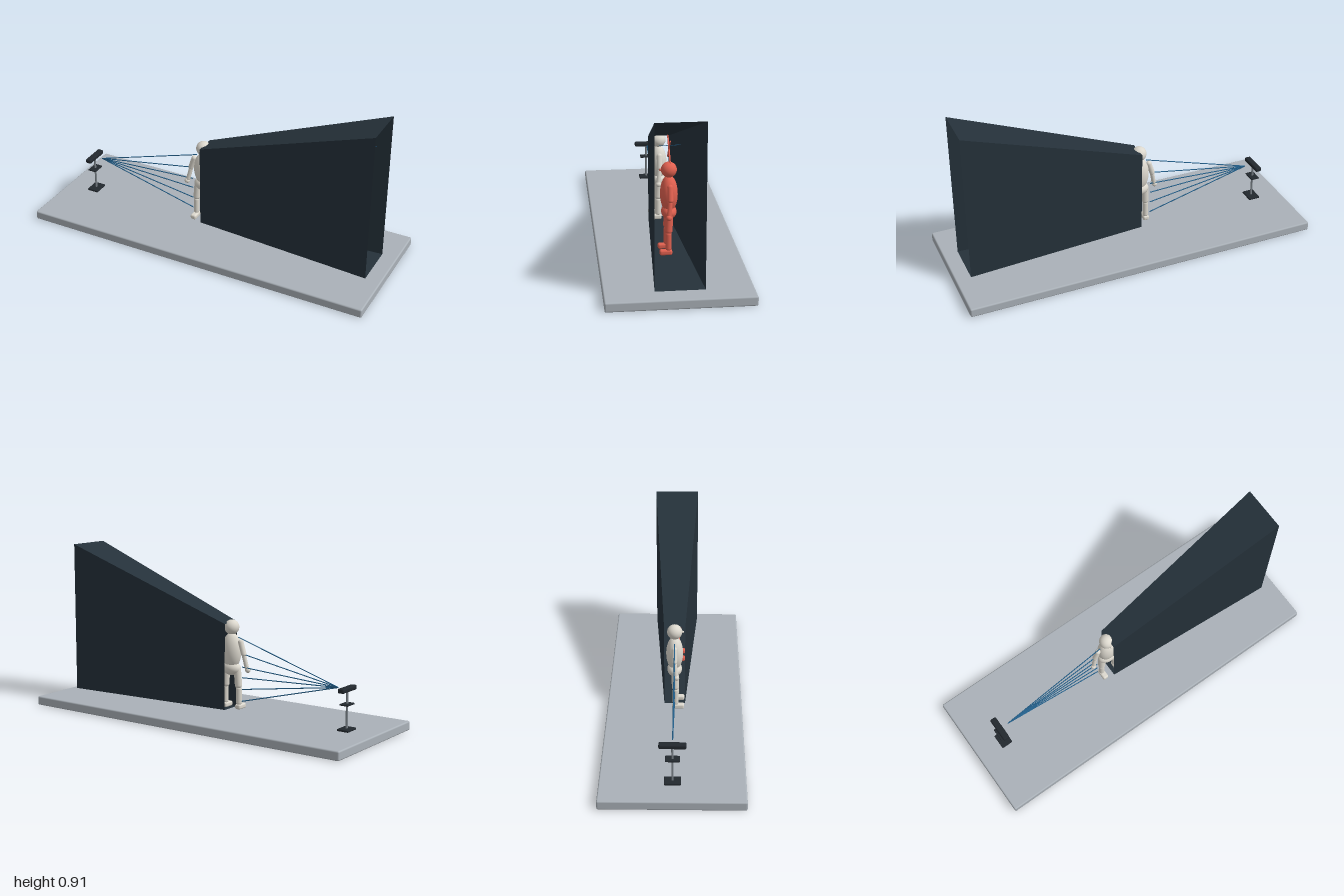
import * as THREE from 'three';
import { RoundedBoxGeometry } from 'three/addons/geometries/RoundedBoxGeometry.js';

const mat = (name, color, extra = {}) => {
  const m = new THREE.MeshStandardMaterial({ color, ...extra });
  m.name = name;
  return m;
};

export function createModel() {
  const root = new THREE.Group();
  root.name = 'occlusionDiorama';
  const slabGrey = mat('slab grey', 0xaab1b8);
  const shadowNavy = mat('shadow navy', 0x25313a, { side: THREE.DoubleSide });
  const bone = mat('bone white', 0xdcd8ce);
  const red = mat('coral red', 0xe0604f);
  const blue = mat('ray blue', 0x23608c);
  const dark = mat('device dark', 0x22282e);
  const steel = mat('steel grey', 0x7d858c);

  const add = (parent, name, geo, material, x = 0, y = 0, z = 0) => {
    const m = new THREE.Mesh(geo, material);
    m.name = name;
    m.position.set(x, y, z);
    parent.add(m);
    return m;
  };
  const V = (p) => new THREE.Vector3(...p);
  const orient = (m, a, b) => {
    m.position.copy(a).add(b).multiplyScalar(0.5);
    m.quaternion.setFromUnitVectors(new THREE.Vector3(0, 1, 0), b.clone().sub(a).normalize());
    return m;
  };
  // Capsule whose rounded tips reach a and b
  const limb = (parent, name, a, b, r, material) => {
    const p = V(a), q = V(b);
    const geo = new THREE.CapsuleGeometry(r, Math.max(0.001, p.distanceTo(q) - 2 * r), 6, 16);
    return orient(add(parent, name, geo, material), p, q);
  };
  const rod = (parent, name, a, b, r, material) => {
    const p = V(a), q = V(b);
    return orient(add(parent, name, new THREE.CylinderGeometry(r, r, p.distanceTo(q), 8), material), p, q);
  };
  const ball = (parent, name, r, material, x, y, z, sx = 1, sy = 1, sz = 1) => {
    const m = add(parent, name, new THREE.SphereGeometry(r, 28, 20), material, x, y, z);
    m.scale.set(sx, sy, sz);
    return m;
  };

  // Base slab
  add(root, 'baseSlab', new RoundedBoxGeometry(2, 0.05, 0.745, 3, 0.008), slabGrey, 0, 0.025, 0);

  // Sensor on a stand
  const sensor = new THREE.Group();
  sensor.name = 'sensorStand';
  sensor.position.x = -0.828;
  root.add(sensor);
  add(sensor, 'standFoot', new RoundedBoxGeometry(0.066, 0.012, 0.086, 2, 0.004), dark, 0, 0.056, 0);
  add(sensor, 'standPole', new THREE.CylinderGeometry(0.006, 0.006, 0.2, 16), steel, 0, 0.16, 0);
  add(sensor, 'standShelf', new RoundedBoxGeometry(0.05, 0.008, 0.074, 2, 0.003), dark, 0, 0.188, 0);
  add(sensor, 'sensorHead', new RoundedBoxGeometry(0.036, 0.025, 0.14, 3, 0.008), dark, 0, 0.267, 0);

  // Mannequin facing +z, used for the visible and the hidden person
  const mannequin = (name, material, x) => {
    const g = new THREE.Group();
    g.name = name;
    g.position.x = x;
    root.add(g);
    ball(g, 'head', 0.041, material, 0, 0.515, 0);
    ball(g, 'nose', 0.007, material, 0, 0.515, 0.043);
    ball(g, 'torso', 0.1, material, 0, 0.385, 0, 0.56, 1, 0.46);
    ball(g, 'pelvis', 0.04, material, 0, 0.288, 0, 1.4, 0.95, 1);
    for (const s of [-1, 1]) {
      limb(g, 'upperArm', [s * 0.055, 0.452, 0], [s * 0.084, 0.36, 0], 0.015, material);
      limb(g, 'forearm', [s * 0.079, 0.372, 0], [s * 0.097, 0.288, 0.009], 0.012, material);
      ball(g, 'hand', 0.015, material, s * 0.1, 0.287, 0.01);
      limb(g, 'thigh', [s * 0.036, 0.3, 0], [s * 0.043, 0.178, 0.006], 0.02, material);
      limb(g, 'shin', [s * 0.044, 0.192, 0.006], [s * 0.045, 0.085, 0.006], 0.016, material);
      add(g, 'foot', new RoundedBoxGeometry(0.034, 0.029, 0.066, 3, 0.01), material, s * 0.045, 0.079, 0.02);
    }
    return g;
  };
  mannequin('visibleFigure', bone, -0.106);
  const hidden = mannequin('hiddenFigure', red, 0.42);

  // Flat cross mark above the hidden figure
  for (const s of [-1, 1]) {
    limb(hidden, 'crossBar', [-s * 0.055, 0.567, 0], [s * 0.055, 0.684, 0], 0.004, red);
  }

  // Fan of rays that stop at the visible figure
  const source = [-0.775, 0.268, 0];
  for (const [x, y] of [[-0.15, 0.463], [-0.175, 0.375], [-0.175, 0.302], [-0.175, 0.243], [-0.175, 0.178], [-0.175, 0.112]]) {
    rod(root, 'ray', source, [x, y, 0], 0.0028, blue);
  }
  // Blocked ray carried on as dashes inside the shadow
  const dashes = 16;
  for (let i = 0; i < dashes; i++) {
    const at = (t) => [-0.06 + 0.97 * t, 0.492 + 0.308 * t, 0];
    rod(root, 'blockedRayDash', at(i / dashes), at((i + 0.6) / dashes), 0.0015, blue);
  }

  // Shadow volume: widening tunnel, open at both ends
  const section = (x, hz, top) => [[x, 0.064, hz], [x, top, hz], [x, top, -hz], [x, 0.064, -hz]];
  const near = section(-0.1, 0.057, 0.538), far = section(0.92, 0.125, 0.912);
  const pos = [];
  for (let i = 0; i < 4; i++) {
    const j = (i + 1) % 4;
    for (const p of [near[i], far[i], far[j], near[i], far[j], near[j]]) pos.push(...p);
  }
  const tunnel = new THREE.BufferGeometry();
  tunnel.setAttribute('position', new THREE.Float32BufferAttribute(pos, 3));
  tunnel.computeVertexNormals();
  add(root, 'shadowVolume', tunnel, shadowNavy);

  return root;
}
